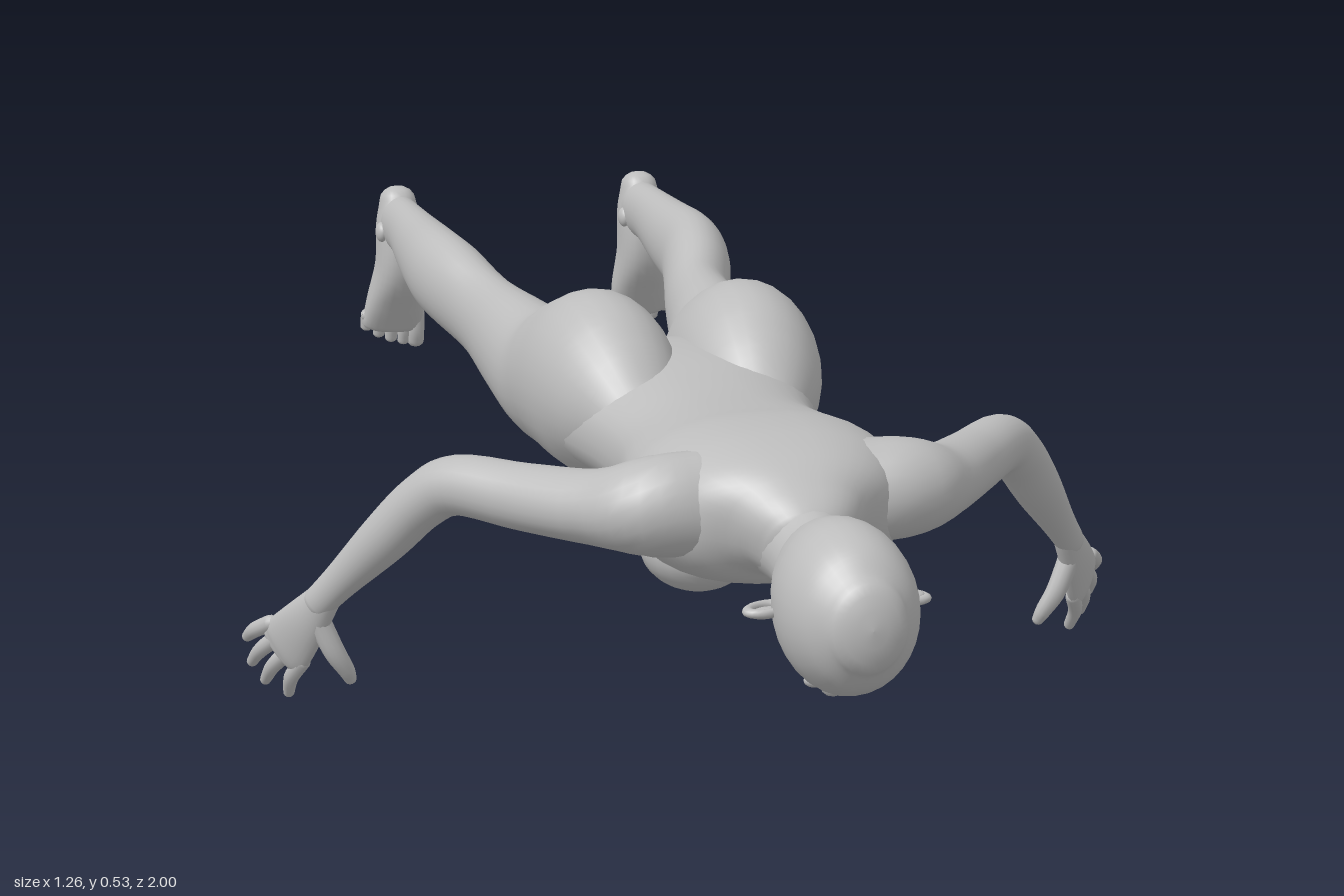
import * as THREE from 'three';

const skin = new THREE.MeshStandardMaterial({ color: 0xbdbdbd });
skin.name = 'plain grey';

// Smooth loft through sections [x, y, z, halfWidth, halfDepth]; ref is the width direction,
// power below 1 makes the section boxier, cap is the roundness of the ends.
function loft(name, sections, ref, { sides = 24, steps = 5, power = 1, cap = 0.8 } = {}) {
  const centres = new THREE.CatmullRomCurve3(sections.map(s => new THREE.Vector3(s[0], s[1], s[2])), false, 'catmullrom');
  const radii = new THREE.CatmullRomCurve3(sections.map(s => new THREE.Vector3(s[3], s[4], 0)), false, 'catmullrom');
  const count = (sections.length - 1) * steps;
  const rings = [];
  const dome = (t, sign) => [0, 0.25, 0.5, 0.75, 1].map(k => {
    const angle = k * Math.PI / 2;
    return { t, scale: Math.cos(angle), push: sign * Math.sin(angle) * cap };
  });
  rings.push(...dome(0, -1).reverse());
  for (let i = 1; i < count; i++) rings.push({ t: i / count, scale: 1, push: 0 });
  rings.push(...dome(1, 1));

  const positions = [], index = [];
  const side = new THREE.Vector3(...ref);
  const spow = v => Math.sign(v) * Math.pow(Math.abs(v), power);
  rings.forEach(({ t, scale, push }, i) => {
    const r = radii.getPoint(t);
    const tangent = centres.getTangent(t);
    const c = centres.getPoint(t).addScaledVector(tangent, push * Math.min(r.x, r.y));
    const u = side.clone().addScaledVector(tangent, -side.dot(tangent)).normalize();
    const v = tangent.clone().cross(u);
    for (let j = 0; j < sides; j++) {
      const a = j / sides * Math.PI * 2;
      const p = c.clone().addScaledVector(u, spow(Math.cos(a)) * r.x * scale)
        .addScaledVector(v, spow(Math.sin(a)) * r.y * scale);
      positions.push(p.x, p.y, p.z);
      if (i < rings.length - 1) {
        const k = (j + 1) % sides, p0 = i * sides, p1 = p0 + sides;
        index.push(p0 + j, p0 + k, p1 + j, p0 + k, p1 + k, p1 + j);
      }
    }
  });
  const geometry = new THREE.BufferGeometry();
  geometry.setAttribute('position', new THREE.Float32BufferAttribute(positions, 3));
  geometry.setIndex(index);
  geometry.computeVertexNormals();
  const mesh = new THREE.Mesh(geometry, skin);
  mesh.name = name;
  return mesh;
}

function ellipsoid(name, centre, radius) {
  const geometry = new THREE.SphereGeometry(1, 24, 16).scale(...radius).translate(...centre);
  const mesh = new THREE.Mesh(geometry, skin);
  mesh.name = name;
  return mesh;
}

function createHead() {
  const head = new THREE.Group();
  head.name = 'head';
  // Skull and jaw, from crown to chin
  head.add(loft('skull', [
    [0, 0.35, 0.975, 0.052, 0.062], [0, 0.348, 0.945, 0.076, 0.092], [0, 0.345, 0.9, 0.088, 0.109],
    [0, 0.34, 0.85, 0.087, 0.111], [0, 0.327, 0.8, 0.074, 0.1], [0, 0.295, 0.765, 0.05, 0.068],
  ], [1, 0, 0], { sides: 32, cap: 0.45 }));
  head.add(ellipsoid('chin', [0, 0.247, 0.768], [0.032, 0.025, 0.025]));
  head.add(loft('nose', [
    [0, 0.24, 0.868, 0.008, 0.008], [0, 0.228, 0.845, 0.011, 0.012], [0, 0.221, 0.824, 0.016, 0.014],
  ], [1, 0, 0], { sides: 12 }));
  head.add(ellipsoid('upperLip', [0, 0.232, 0.801], [0.024, 0.01, 0.006]));
  head.add(ellipsoid('lowerLip', [0, 0.233, 0.791], [0.02, 0.01, 0.006]));
  for (const s of [1, -1]) {
    head.add(ellipsoid('eye', [s * 0.034, 0.246, 0.865], [0.016, 0.01, 0.009]));
    // Ear: a rim around a shallow bowl
    const ear = new THREE.Group();
    ear.name = 'ear';
    const rim = new THREE.Mesh(new THREE.TorusGeometry(0.021, 0.006, 10, 24).scale(0.8, 1.3, 1), skin);
    rim.name = 'earRim';
    ear.add(rim, ellipsoid('earBowl', [0, 0, -s * 0.005], [0.016, 0.026, 0.006]));
    ear.rotation.set(Math.PI / 2, s * 1.25, 0, 'YXZ');
    ear.position.set(s * 0.09, 0.335, 0.835);
    head.add(ear);
  }
  return head;
}

function createArm(s) {
  const arm = new THREE.Group();
  arm.name = s > 0 ? 'leftArm' : 'rightArm';
  const flip = list => list.map(([x, ...rest]) => [s * x, ...rest]);
  const across = [-0.5 * s, -0.72, 0.49];
  arm.add(loft('upperArmAndForearm', flip([
    [0.1, 0.4, 0.585, 0.07, 0.06], [0.175, 0.397, 0.575, 0.066, 0.07], [0.235, 0.386, 0.525, 0.05, 0.055],
    [0.31, 0.377, 0.43, 0.045, 0.046], [0.38, 0.373, 0.345, 0.041, 0.041], [0.42, 0.342, 0.305, 0.038, 0.038],
    [0.465, 0.28, 0.262, 0.035, 0.034], [0.515, 0.21, 0.213, 0.026, 0.023], [0.545, 0.168, 0.185, 0.023, 0.018],
  ]), across));
  arm.add(loft('palm', flip([
    [0.535, 0.18, 0.193, 0.023, 0.018], [0.56, 0.135, 0.165, 0.035, 0.018],
    [0.58, 0.097, 0.137, 0.043, 0.015], [0.588, 0.084, 0.125, 0.04, 0.011],
  ]), across, { sides: 20 }));
  // Fingers from index to little, each knuckle to tip
  const fingers = [
    [[0.563, 0.073, 0.151], [0.575, 0.014, 0.105]], [[0.577, 0.087, 0.139], [0.602, 0.024, 0.073]],
    [[0.59, 0.104, 0.126], [0.618, 0.048, 0.06]], [[0.6, 0.121, 0.116], [0.624, 0.086, 0.062]],
  ];
  for (const [k, tip] of fingers) {
    const mid = k.map((v, i) => (v + tip[i]) / 2);
    mid[0] += 0.006;
    arm.add(loft('finger', flip([[...k, 0.012, 0.011], [...mid, 0.011, 0.01], [...tip, 0.008, 0.008]]),
      across, { sides: 12, cap: 1 }));
  }
  arm.add(loft('thumb', flip([
    [0.545, 0.145, 0.182, 0.016, 0.015], [0.525, 0.098, 0.187, 0.015, 0.013],
    [0.508, 0.068, 0.183, 0.012, 0.011], [0.501, 0.052, 0.178, 0.009, 0.008],
  ]), [1, 0, 0], { sides: 12, cap: 1 }));
  return arm;
}

function createLeg(s) {
  const leg = new THREE.Group();
  leg.name = s > 0 ? 'leftLeg' : 'rightLeg';
  const flip = list => list.map(([x, ...rest]) => [s * x, ...rest]);
  // Hip, thigh, knee and calf
  leg.add(loft('thighAndCalf', flip([
    [0.085, 0.385, 0.19, 0.06, 0.06], [0.097, 0.4, 0.11, 0.093, 0.11], [0.106, 0.406, 0.03, 0.105, 0.133],
    [0.113, 0.388, -0.07, 0.102, 0.12], [0.13, 0.365, -0.18, 0.083, 0.096], [0.148, 0.37, -0.32, 0.063, 0.082],
    [0.163, 0.381, -0.45, 0.05, 0.069], [0.188, 0.403, -0.55, 0.052, 0.07], [0.2, 0.41, -0.63, 0.05, 0.068],
    [0.2, 0.411, -0.75, 0.043, 0.058], [0.199, 0.414, -0.86, 0.035, 0.047], [0.198, 0.41, -0.94, 0.033, 0.045],
  ]), [1, 0, 0], { sides: 28 }));
  leg.add(loft('foot', flip([
    [0.199, 0.445, -0.958, 0.028, 0.033], [0.199, 0.405, -0.952, 0.035, 0.046], [0.2, 0.34, -0.95, 0.037, 0.047],
    [0.203, 0.28, -0.967, 0.046, 0.032], [0.207, 0.235, -0.98, 0.05, 0.018],
  ]), [1, 0, 0], { power: 0.85 }));
  for (const side of [0.168, 0.231]) leg.add(ellipsoid('ankleBone', [s * side, 0.4, -0.93], [0.01, 0.016, 0.016]));
  // Toes, from big to little
  for (let i = 0; i < 5; i++) {
    const x = 0.168 + i * 0.02, r = i ? 0.01 : 0.014, tip = 0.202 + i * i * 0.0018;
    leg.add(loft('toe', flip([
      [x, 0.25, -0.978, r, r], [x, tip + 0.02, -0.981, r, r], [x, tip, -0.986, r, r * 0.9],
    ]), [1, 0, 0], { sides: 12, cap: 0.8 }));
  }
  return leg;
}

export function createModel() {
  const model = new THREE.Group();
  model.name = 'figureLyingFaceDown';
  // Trunk from neck base to pelvis
  model.add(loft('torso', [
    [0, 0.37, 0.71, 0.06, 0.058], [0, 0.384, 0.675, 0.09, 0.07], [0, 0.39, 0.635, 0.14, 0.087],
    [0, 0.385, 0.58, 0.172, 0.102], [0, 0.375, 0.5, 0.182, 0.11], [0, 0.368, 0.42, 0.173, 0.105],
    [0, 0.368, 0.3, 0.15, 0.092], [0, 0.37, 0.2, 0.158, 0.09], [0, 0.375, 0.1, 0.187, 0.093],
    [0, 0.37, 0.01, 0.195, 0.09], [0, 0.35, -0.05, 0.13, 0.07],
  ], [1, 0, 0], { sides: 36, power: 0.85, cap: 0.4 }));
  model.add(loft('neck', [
    [0, 0.38, 0.64, 0.085, 0.072], [0, 0.366, 0.71, 0.06, 0.062],
    [0, 0.357, 0.76, 0.056, 0.063], [0, 0.355, 0.82, 0.058, 0.07],
  ], [1, 0, 0]));
  for (const s of [1, -1]) {
    model.add(ellipsoid('chest', [s * 0.082, 0.305, 0.465], [0.078, 0.062, 0.085]));
    model.add(createArm(s), createLeg(s));
  }
  model.add(createHead());
  return model;
}
